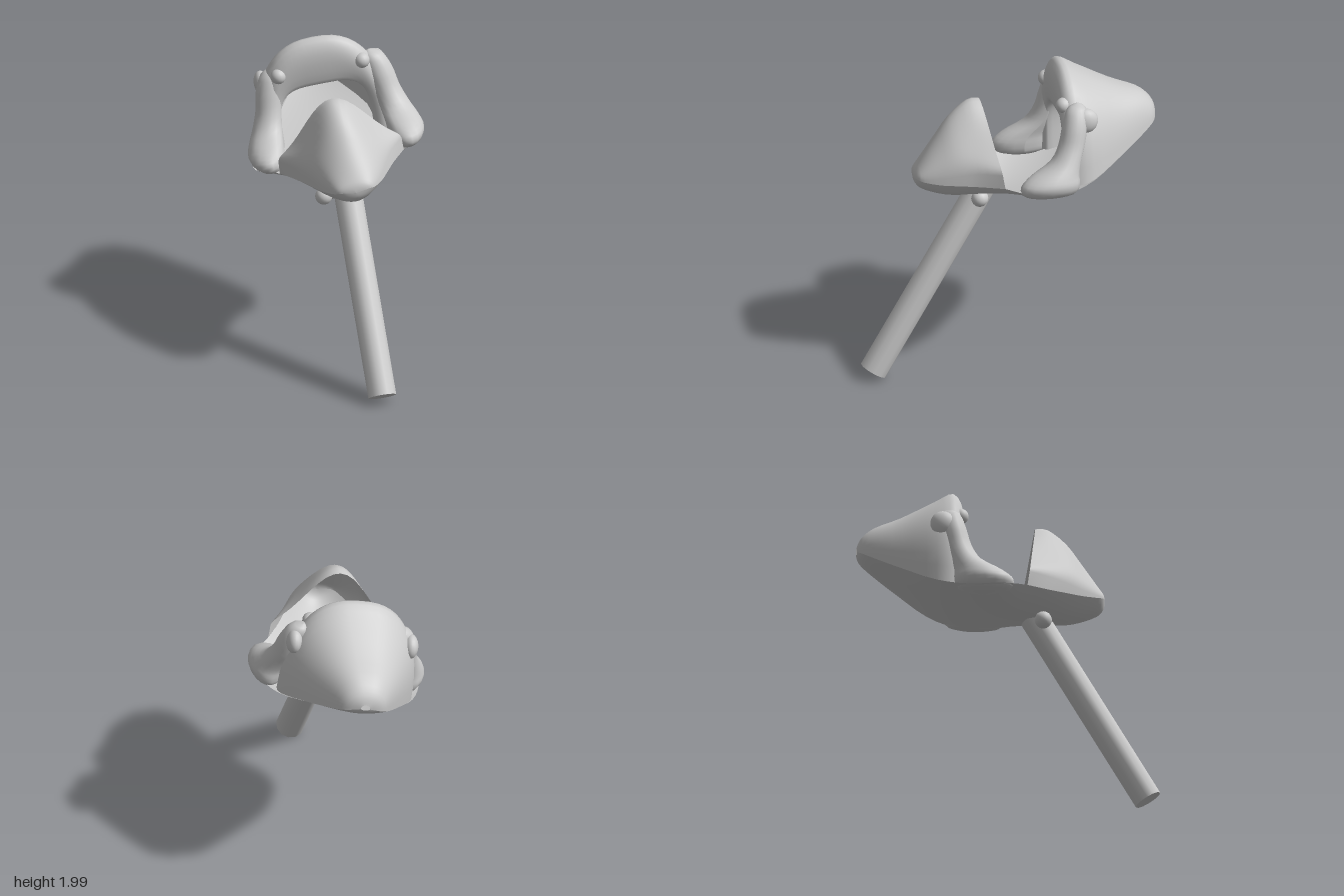
import * as THREE from 'three';

const mat = new THREE.MeshStandardMaterial({ color: 0xcccccc, side: THREE.DoubleSide });
const V = (x, y, z) => new THREE.Vector3(x, y, z);

function addMesh(parent, name, geometry) {
  const mesh = new THREE.Mesh(geometry, mat);
  mesh.name = name;
  parent.add(mesh);
  return mesh;
}

// Smooth sheet: each row of numbers gives one cross-section, point(row, t) with t from -1 to 1
function loft(rows, point, cols = 28, steps = 3) {
  const all = [];
  for (let i = 0; i < rows.length - 1; i++) {
    const [a, b, c, d] = [i - 1, i, i + 1, i + 2].map(
      k => rows[Math.min(Math.max(k, 0), rows.length - 1)]);
    for (let s = 0; s < steps; s++) {
      const t = s / steps;
      all.push(b.map((_, k) => 0.5 * (2 * b[k] + (c[k] - a[k]) * t
        + (2 * a[k] - 5 * b[k] + 4 * c[k] - d[k]) * t * t
        + (3 * b[k] - a[k] - 3 * c[k] + d[k]) * t * t * t)));
    }
  }
  all.push(rows[rows.length - 1]);
  const pos = [], index = [];
  all.forEach((row, i) => {
    for (let j = 0; j <= cols; j++) {
      pos.push(...point(row, (j / cols) * 2 - 1));
      if (i && j) {
        const p = i * (cols + 1) + j, q = p - cols - 1;
        index.push(q - 1, p - 1, q, p - 1, p, q);
      }
    }
  });
  const g = new THREE.BufferGeometry();
  g.setAttribute('position', new THREE.Float32BufferAttribute(pos, 3));
  g.setIndex(index);
  g.computeVertexNormals();
  return g;
}

// Sideways skew of the shell towards the back
const skew = z => 0.05 * (z - 0.45);

// Round bar between two points
function bar(parent, name, a, b, radius, sides) {
  const mesh = addMesh(parent, name, new THREE.CylinderGeometry(radius, radius, a.distanceTo(b), sides));
  mesh.position.copy(a).lerp(b, 0.5);
  mesh.quaternion.setFromUnitVectors(V(0, 1, 0), b.clone().sub(a).normalize());
}

function blob(parent, name, center, size) {
  const mesh = addMesh(parent, name, new THREE.SphereGeometry(1, 16, 12));
  mesh.position.copy(center);
  mesh.scale.copy(size);
}

export function createModel() {
  const model = new THREE.Group();

  // Head is turned and rolled about its middle
  const pivot = new THREE.Group();
  pivot.name = 'head';
  pivot.position.set(-0.015, 1.45, 0);
  pivot.rotation.set(0, 0.455, 0.155);
  model.add(pivot);
  const head = new THREE.Group();
  head.name = 'headShell';
  head.position.y = -1.45;
  pivot.add(head);

  // Underside: [z, half width, keel height, edge height]
  const floorRows = [
    [0.65, 0, 1.34, 1.34], [0.64, 0.09, 1.3, 1.35], [0.6, 0.14, 1.26, 1.34],
    [0.5, 0.2, 1.22, 1.33], [0.4, 0.25, 1.2, 1.33], [0.28, 0.31, 1.2, 1.33],
    [0.13, 0.4, 1.2, 1.33], [-0.05, 0.53, 1.21, 1.3], [-0.25, 0.51, 1.24, 1.29],
    [-0.45, 0.43, 1.3, 1.33], [-0.66, 0.3, 1.4, 1.43], [-0.83, 0.19, 1.49, 1.52],
    [-0.91, 0.12, 1.55, 1.57], [-0.935, 0.03, 1.59, 1.6],
  ];
  addMesh(head, 'underside', loft(floorRows,
    ([z, w, keel, edge], t) => [w * t + skew(z), keel + (edge - keel) * t * t, z]));

  // Front hood stands on the front edge of the underside: [top height, bell amount, rim lean]
  const frontTops = [
    [1.35, 0, 0], [1.39, 0, 0], [1.45, 0.1, 0], [1.59, 0.3, 0],
    [1.72, 0.5, 0], [1.81, 0.8, 0], [1.81, 1, 0.07],
  ];
  const frontRows = frontTops.map((top, i) => [...floorRows[i], ...top]);
  addMesh(head, 'frontHood', loft(frontRows, ([z, w, , edge, top, bell, lean], t) => {
    const x = Math.sin((t * Math.PI) / 2);
    const round = Math.max(0, Math.cos((t * Math.PI) / 2));
    const flare = 0.36 * round ** 0.3 + 0.32 * (1 + Math.cos(Math.PI * x));
    const h = bell * flare + (1 - bell) * round ** 0.9;
    return [w * x + skew(z), edge + (top - edge) * h, z + lean * h];
  }));

  // Rear hood, from the inner cavity over the thick brow to the back tip:
  // [z, half width, edge height, top height, squareness exponent]
  const rearRows = [
    [-0.8, 0.12, 1.49, 1.6, 0.8], [-0.55, 0.29, 1.37, 1.74, 0.6], [-0.33, 0.29, 1.31, 1.69, 0.5],
    [-0.28, 0.31, 1.3, 1.72, 0.55], [-0.27, 0.37, 1.29, 1.9, 0.75], [-0.33, 0.42, 1.3, 2.0, 0.8],
    [-0.45, 0.42, 1.33, 1.94, 0.82], [-0.66, 0.3, 1.43, 1.83, 0.82], [-0.83, 0.19, 1.52, 1.76, 0.82],
    [-0.91, 0.12, 1.57, 1.69, 0.85], [-0.935, 0.03, 1.6, 1.63, 0.85],
  ];
  addMesh(head, 'rearHood', loft(rearRows, ([z, w, edge, top, p], t) => {
    const a = (t * Math.PI) / 2, s = Math.sin(a);
    return [
      w * Math.sign(s) * Math.abs(s) ** p + skew(z),
      edge + (top - edge) * Math.max(0, Math.cos(a)) ** p,
      z,
    ];
  }));

  // Pillars swelling into the side lobes: [x, y, z, radius in x, radius in z]
  const pillarRows = [
    [0.31, 1.83, -0.37, 0, 0], [0.33, 1.8, -0.36, 0.06, 0.06], [0.355, 1.7, -0.34, 0.085, 0.08],
    [0.38, 1.58, -0.31, 0.085, 0.085], [0.41, 1.48, -0.26, 0.095, 0.1], [0.44, 1.4, -0.18, 0.11, 0.16],
    [0.45, 1.34, -0.15, 0.115, 0.19], [0.44, 1.28, -0.15, 0.085, 0.16], [0.42, 1.25, -0.16, 0, 0],
  ];
  for (const s of [-1, 1]) {
    addMesh(head, 'pillar', loft(pillarRows, ([x, y, z, rx, rz], t) =>
      [s * (x + rx * Math.cos(t * Math.PI)) - 0.015, y, z + rz * Math.sin(t * Math.PI)], 18));
    blob(head, 'sideKnob', V(s * 0.375 - 0.03, 1.72, -0.41), V(0.05, 0.08, 0.08));
    blob(head, 'browKnob', V(s * 0.27 - 0.03, 1.8, -0.29), V(0.05, 0.05, 0.05));
  }

  // Handle with its cross pin
  bar(model, 'handle', V(0.09, 1.23, 0.17), V(0.54, 0.05, 0.77), 0.09, 12);
  const pinEnds = [V(-0.02, 1.15, 0.28), V(0.18, 1.18, 0.165)];
  bar(model, 'crossPin', pinEnds[0], pinEnds[1], 0.03, 10);
  for (const end of pinEnds) blob(model, 'pinKnob', end, V(0.055, 0.055, 0.055));

  return model;
}
